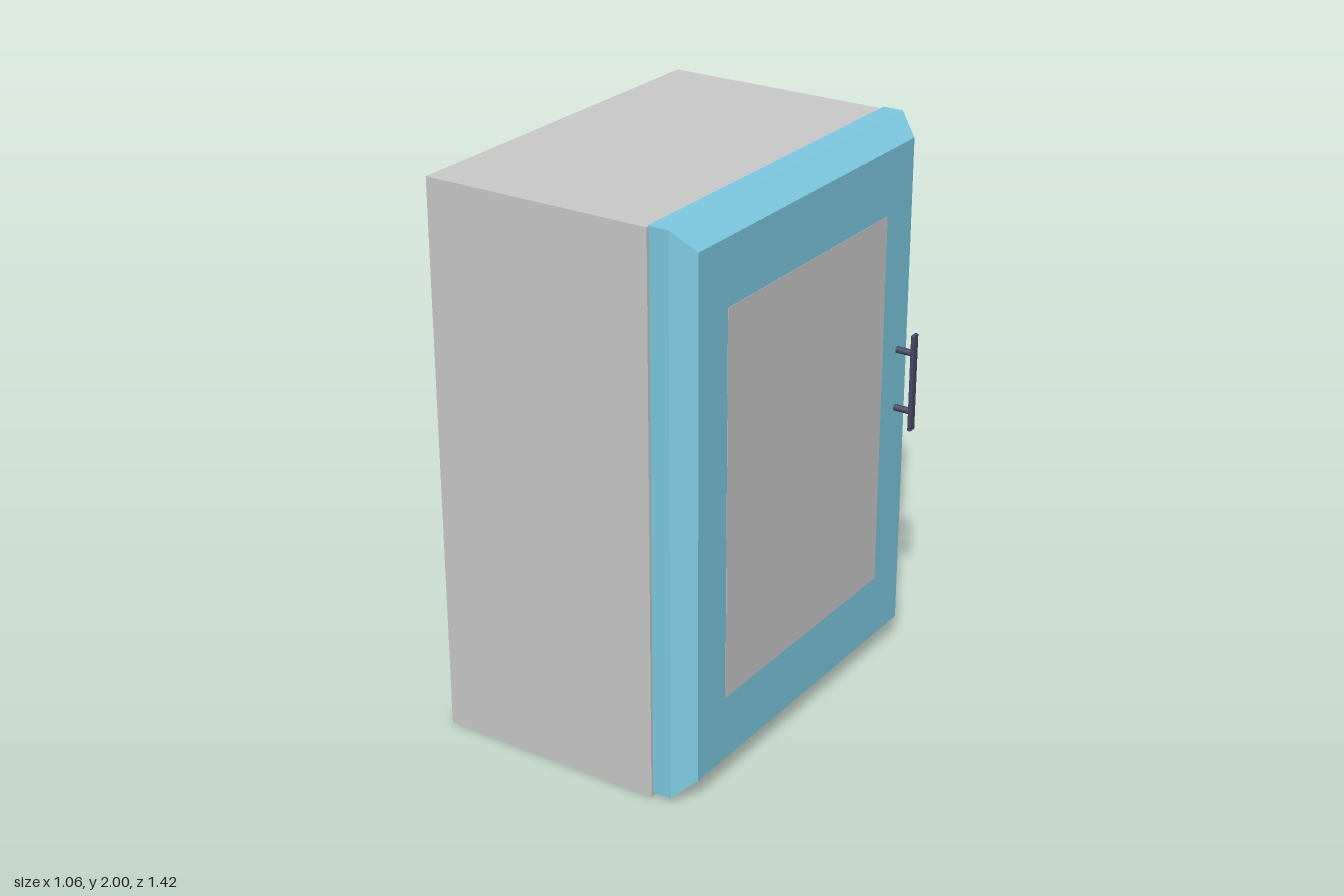
import * as THREE from 'three';
import { RoundedBoxGeometry } from 'three/addons/geometries/RoundedBoxGeometry.js';

const grey = new THREE.MeshStandardMaterial({ color: 0xcccccc });
const blue = new THREE.MeshStandardMaterial({ color: 0x7ecbe3 });
const dark = new THREE.MeshStandardMaterial({ color: 0x484868 });

function addMesh(parent, name, geometry, material, x, y, z) {
  const mesh = new THREE.Mesh(geometry, material);
  mesh.name = name;
  mesh.position.set(x, y, z);
  parent.add(mesh);
  return mesh;
}

// Slab whose outer (+x) half slopes inwards on all four sides
function bevelledSlab(w, h, d, insetY, insetZ) {
  const geometry = new THREE.BoxGeometry(w, h, d, 2, 1, 1).toNonIndexed();
  const p = geometry.attributes.position;
  for (let i = 0; i < p.count; i++) {
    if (p.getX(i) > w * 0.25) {
      p.setY(i, p.getY(i) - Math.sign(p.getY(i)) * insetY);
      p.setZ(i, p.getZ(i) - Math.sign(p.getZ(i)) * insetZ);
    }
  }
  geometry.computeVertexNormals();
  return geometry;
}

export function createModel() {
  const model = new THREE.Group();
  model.name = 'wallCabinet';

  // Carcass
  addMesh(model, 'carcass', new THREE.BoxGeometry(0.84, 1.998, 1.41), grey, -0.11, 0.999, 0.006);

  // Door with bevelled rim and flush centre panel
  const door = new THREE.Group();
  door.name = 'door';
  model.add(door);
  addMesh(door, 'doorFrame', bevelledSlab(0.15, 1.985, 1.413, 0.07, 0.048), blue, 0.38, 1.0075, -0.0065);
  addMesh(door, 'doorPanel', new THREE.BoxGeometry(0.01, 1.38, 0.985), grey, 0.4512, 1.01, -0.003);

  // Handle: flat bar on two round posts
  const handle = new THREE.Group();
  handle.name = 'handle';
  door.add(handle);
  addMesh(handle, 'handleBar', new RoundedBoxGeometry(0.014, 0.365, 0.032, 2, 0.004), dark, 0.522, 1.0675, -0.6);
  for (const y of [0.957, 1.178]) {
    const post = addMesh(handle, 'handlePost', new THREE.CylinderGeometry(0.012, 0.012, 0.068, 16), dark, 0.486, y, -0.6);
    post.rotation.z = -Math.PI / 2;
  }
  return model;
}
